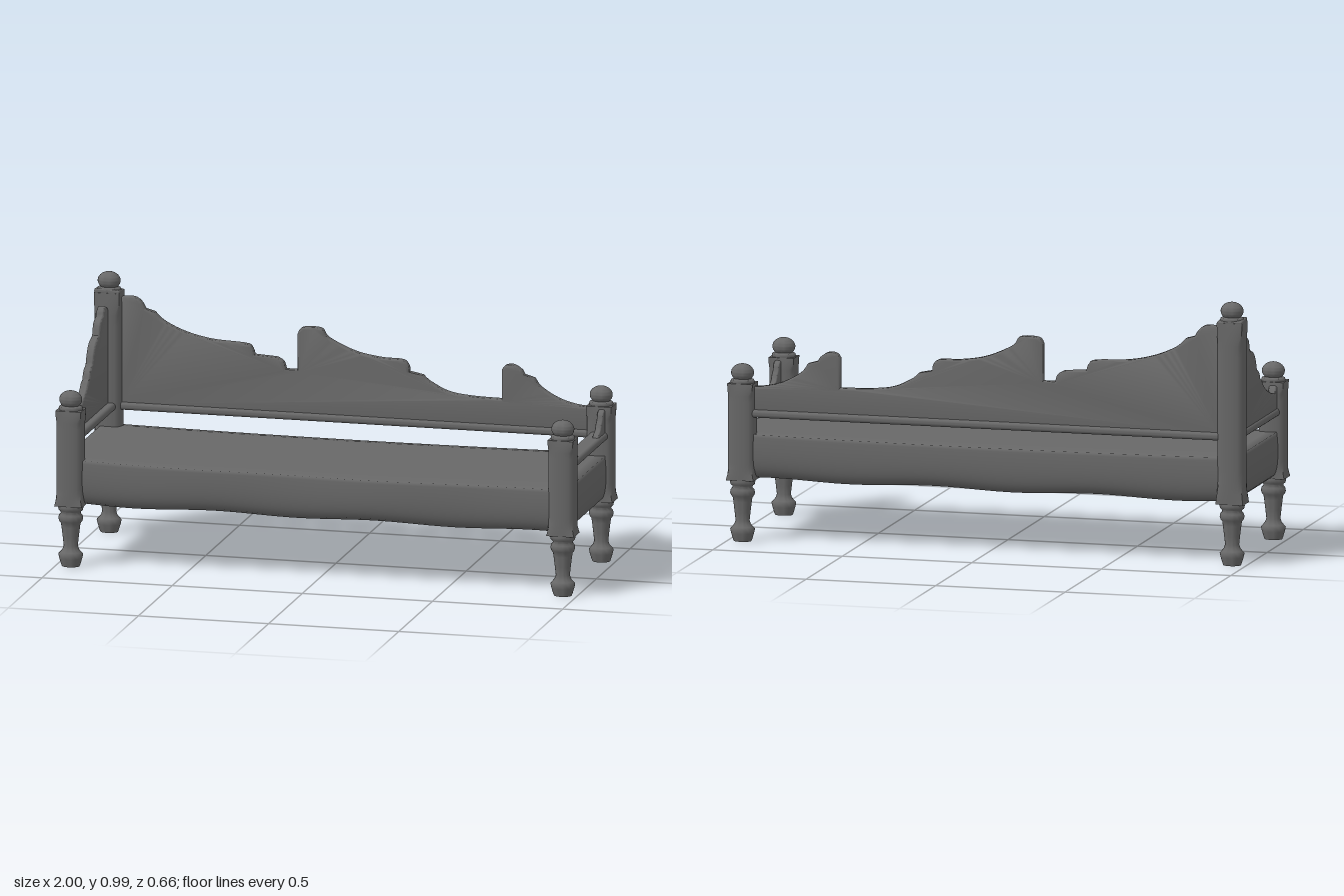
import * as THREE from 'three';
import { toCreasedNormals } from 'three/addons/utils/BufferGeometryUtils.js';
import { RoundedBoxGeometry } from 'three/addons/geometries/RoundedBoxGeometry.js';

const material = new THREE.MeshStandardMaterial({ color: 0x686868 });
const POST_X = 0.945, POST_Z = 0.285, WIDEN = 1.2; // turned parts are slightly oval

function addMesh(parent, name, geometry, x = 0, y = 0, z = 0) {
  const mesh = new THREE.Mesh(geometry, material);
  mesh.name = name;
  mesh.position.set(x, y, z);
  parent.add(mesh);
  return mesh;
}

function turned(points) {
  const profile = points.map(([r, y]) => new THREE.Vector2(r, y));
  const g = new THREE.LatheGeometry(profile, 28);
  g.scale(WIDEN, 1, 1);
  return toCreasedNormals(g, 1.1);
}

// Scalloped board: each run is a smooth curve, runs meet at sharp steps
function board(runs, bottom, thickness) {
  const shape = new THREE.Shape();
  const first = runs[0][0];
  const lastRun = runs[runs.length - 1];
  const last = lastRun[lastRun.length - 1];
  shape.moveTo(first[0], bottom);
  for (const run of runs) {
    shape.lineTo(...run[0]);
    if (run.length > 1) shape.splineThru(run.slice(1).map(p => new THREE.Vector2(...p)));
  }
  shape.lineTo(last[0], bottom);
  shape.closePath();
  const bevel = 0.008;
  const g = new THREE.ExtrudeGeometry(shape, {
    depth: thickness - 2 * bevel, bevelEnabled: true, bevelThickness: bevel,
    bevelSize: bevel, bevelOffset: -bevel, bevelSegments: 3, curveSegments: 6,
  });
  g.translate(0, 0, bevel - thickness / 2);
  return toCreasedNormals(g, 1);
}

// Mattress: a soft gridded box, rounded under, with a gently wavy front and underside
function mattressGeometry() {
  const hx = 0.975, hz = 0.314, top = 0.412, height = 0.177;
  const g = new THREE.BoxGeometry(2 * hx, height, 2 * hz, 48, 14, 16);
  const p = g.attributes.position;
  for (let i = 0; i < p.count; i++) {
    const x = p.getX(i), z = p.getZ(i);
    const u = THREE.MathUtils.clamp(0.5 - p.getY(i) / height, 0, 1); // 0 at the top, 1 at the bottom
    const under = 0.045 * (1 - Math.sqrt(1 - Math.pow(u, 4)));
    const over = 0.006 * Math.pow(1 - u, 4);
    const wave = 0.006 * Math.sin(x * 8 - 0.2) * Math.max(0, z / hz);
    const sag = 0.005 * Math.sin(x * 9.7 - 0.6) * u;
    const edge = Math.pow(Math.abs(z) / hz, 8);
    p.setXYZ(i,
      x * (1 - (under * 0.6 + over) / hx),
      top - u * height + sag - (1 - u) * (0.003 * edge + 0.009 * (1 - x * x)),
      z * (1 - (under + over) / hz) + wave);
  }
  return toCreasedNormals(g, 1.8);
}

// Post block: square at both ends, corners softened between, top edge eased
function postBlockGeometry(height) {
  const hx = 0.053, hz = 0.043;
  const g = new THREE.BoxGeometry(2 * hx, height, 2 * hz, 6, 16, 6);
  const p = g.attributes.position;
  for (let i = 0; i < p.count; i++) {
    const s = p.getX(i) / hx, t = p.getZ(i) / hz;
    const v = THREE.MathUtils.clamp(p.getY(i) / height + 0.5, 0, 1);
    const soften = 0.2 * Math.min(1, 8 * v, 8 * (1 - v)) * s * s * t * t;
    const ease = v > 0.99 ? 0.08 : 0;
    const k = 1 - soften - ease;
    p.setXYZ(i, hx * s * k, p.getY(i), hz * t * k);
  }
  return toCreasedNormals(g, 1.1);
}

function buildPost(height) {
  const post = new THREE.Group();
  const base = 0.233;
  addMesh(post, 'postBlock', postBlockGeometry(height - base), 0, (height + base) / 2, 0);

  addMesh(post, 'turnedLeg', turned([
    [0, 0], [0.028, 0], [0.031, 0.01], [0.036, 0.03], [0.039, 0.046], [0.033, 0.054], [0.026, 0.064],
    [0.022, 0.078], [0.025, 0.11], [0.029, 0.15], [0.031, 0.165], [0.036, 0.172],
    [0.039, 0.183], [0.037, 0.195], [0.031, 0.203], [0.032, 0.209], [0.038, 0.215],
    [0.04, 0.226], [0.036, 0.24], [0, 0.24],
  ]));

  // Collar, neck and round knob
  const profile = [[0, -0.01], [0.036, -0.01], [0.038, 0.004], [0.036, 0.012], [0.028, 0.016]];
  for (let i = 0; i <= 14; i++) {
    const a = -0.9 + (Math.PI / 2 + 0.9) * i / 14;
    profile.push([Math.max(0, 0.036 * Math.cos(a)), 0.038 + 0.034 * Math.sin(a)]);
  }
  addMesh(post, 'knob', turned(profile), 0, height, 0);
  return post;
}

export function createModel() {
  const model = new THREE.Group();
  model.name = 'daybed';

  // Four posts, the one at the head corner is tall
  for (const sx of [-1, 1]) for (const sz of [-1, 1]) {
    const tall = sx < 0 && sz < 0;
    const post = buildPost(tall ? 0.919 : 0.598);
    post.name = tall ? 'tallPost' : 'shortPost';
    post.position.set(sx * POST_X, 0, sz * POST_Z);
    model.add(post);
    if (tall) {
      const cap = addMesh(post, 'postCap', new RoundedBoxGeometry(0.098, 0.018, 0.076, 3, 0.006), 0, 0.92, 0);
      cap.rotation.set(-0.1, 0, -0.05);
      post.getObjectByName('knob').position.y = 0.922;
    }
  }

  addMesh(model, 'mattress', mattressGeometry());

  // Rails at the back and both ends
  addMesh(model, 'backRail', new RoundedBoxGeometry(1.82, 0.03, 0.054, 4, 0.013), 0, 0.486, -0.289);
  for (const sx of [-1, 1])
    addMesh(model, 'endRail', new RoundedBoxGeometry(0.068, 0.03, 0.52, 4, 0.013), sx * POST_X, 0.486, 0);

  // Back board with descending scallops
  addMesh(model, 'backBoard', board([
    [[-0.91, 0.9], [-0.85, 0.903], [-0.82, 0.885], [-0.805, 0.86]],
    [[-0.77, 0.85], [-0.73, 0.815], [-0.65, 0.78], [-0.55, 0.758], [-0.42, 0.75], [-0.395, 0.735], [-0.385, 0.71]],
    [[-0.3, 0.705], [-0.275, 0.69], [-0.265, 0.662]],
    [[-0.22, 0.662]],
    [[-0.22, 0.8], [-0.2, 0.825], [-0.13, 0.825], [-0.1, 0.79], [0, 0.745], [0.1, 0.727], [0.18, 0.724], [0.205, 0.705], [0.21, 0.68]],
    [[0.26, 0.67], [0.29, 0.645], [0.36, 0.612], [0.45, 0.6], [0.565, 0.597]],
    [[0.565, 0.71], [0.58, 0.727], [0.61, 0.73], [0.64, 0.712], [0.65, 0.695]],
    [[0.69, 0.683], [0.715, 0.65], [0.78, 0.612], [0.85, 0.592], [0.91, 0.587]],
  ], 0.485, 0.032), 0, 0, -0.288);

  // Head end board climbing to the tall post
  const headBoard = board([
    [[-0.26, 0.86], [-0.235, 0.868], [-0.215, 0.876], [-0.195, 0.866], [-0.185, 0.847]],
    [[-0.165, 0.842], [-0.14, 0.825], [-0.125, 0.785]],
    [[-0.1, 0.779], [-0.07, 0.765], [-0.045, 0.735], [-0.028, 0.696]],
    [[-0.01, 0.69], [0.008, 0.675], [0.02, 0.65]],
    [[0.04, 0.645], [0.065, 0.62], [0.11, 0.595], [0.16, 0.576], [0.225, 0.56]],
    [[0.24, 0.585], [0.26, 0.59]],
  ], 0.485, 0.032);
  headBoard.rotateY(-Math.PI / 2);
  addMesh(model, 'headBoard', headBoard, -0.955, 0, 0);

  // Curved corner brackets on the open end
  for (const sz of [-1, 1]) {
    const bracket = board([
      [[0.145, 0.497], [0.16, 0.512], [0.185, 0.523], [0.2, 0.545]],
      [[0.213, 0.555], [0.225, 0.58], [0.26, 0.594]],
    ], 0.485, 0.026);
    bracket.rotateY(-sz * Math.PI / 2);
    addMesh(model, 'cornerBracket', bracket, 0.957, 0, 0);
  }
  return model;
}
